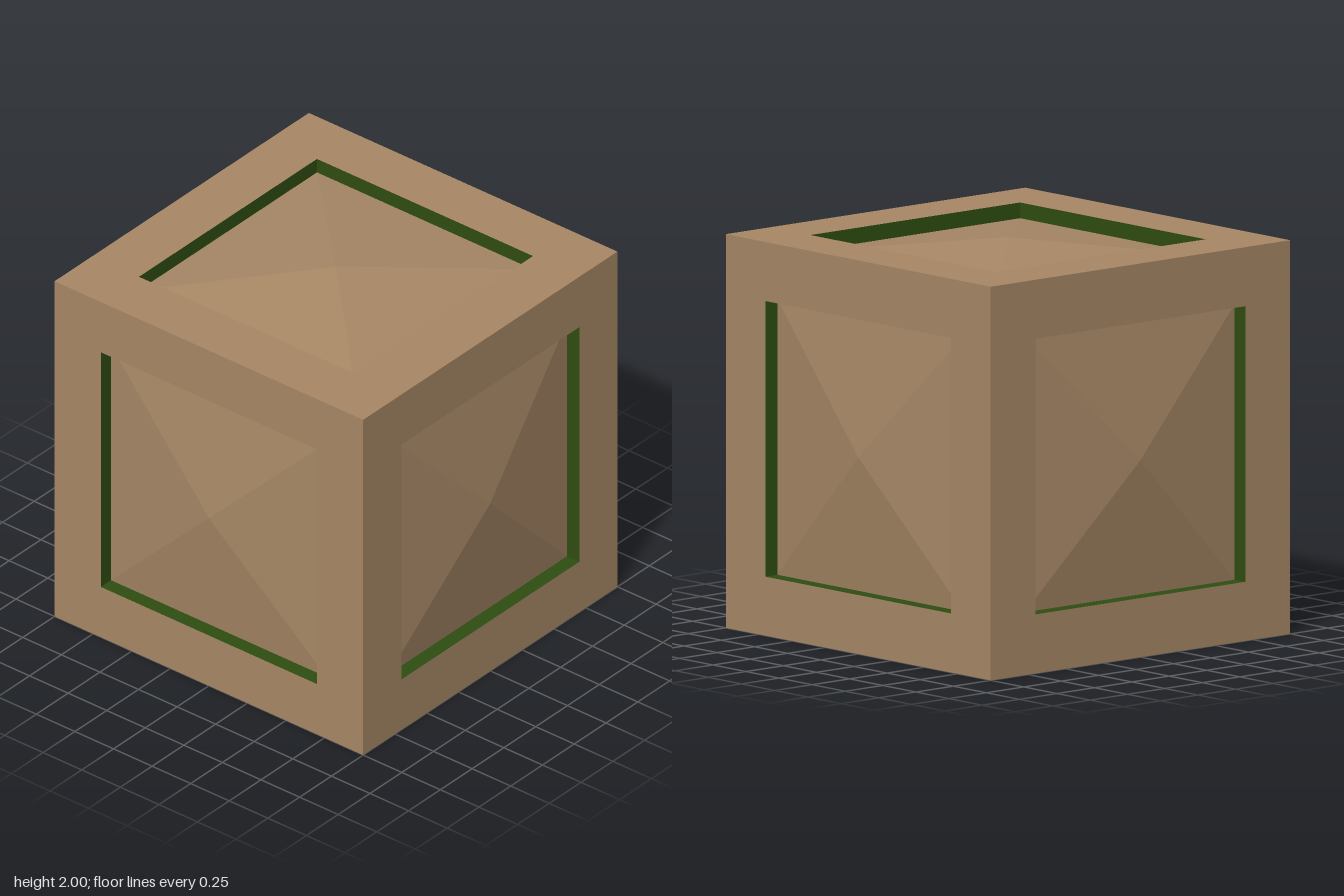
import * as THREE from 'three';

const HALF = 1;       // half the cube's side
const INNER = 0.7;    // half the recess's side
const DEPTH = 0.08;   // depth of the recess

const square = (Type, r) => new Type([
  new THREE.Vector2(-r, -r), new THREE.Vector2(r, -r),
  new THREE.Vector2(r, r), new THREE.Vector2(-r, r),
]);

export function createModel() {
  const wood = new THREE.MeshStandardMaterial({ name: 'woodBrown', color: 0xa98967, flatShading: true });
  const green = new THREE.MeshStandardMaterial({
    name: 'recessGreen', color: 0x2f4e11, flatShading: true, side: THREE.DoubleSide,
  });

  // Flat square border around the recess
  const border = square(THREE.Shape, HALF);
  border.holes.push(square(THREE.Path, INNER));
  const frameGeo = new THREE.ShapeGeometry(border).translate(0, 0, HALF);

  // Four recess walls: an open square tube
  const radius = INNER * Math.SQRT2;
  const wallGeo = new THREE.CylinderGeometry(radius, radius, DEPTH, 4, 1, true)
    .rotateY(Math.PI / 4).rotateX(Math.PI / 2).translate(0, 0, HALF - DEPTH / 2);

  // Low pyramid rising from the recess floor to the level of the frame
  const panelGeo = new THREE.ConeGeometry(radius, DEPTH, 4, 1, true)
    .rotateY(Math.PI / 4).rotateX(Math.PI / 2).translate(0, 0, HALF - DEPTH / 2);

  const model = new THREE.Group();
  model.name = 'crate';

  // The same side, turned to face six ways
  const q = Math.PI / 2;
  const sides = {
    front: [0, 0], left: [0, q], back: [0, 2 * q], right: [0, -q], top: [-q, 0], bottom: [q, 0],
  };
  for (const [name, [rx, ry]] of Object.entries(sides)) {
    const side = new THREE.Group();
    side.name = `${name}Side`;
    const parts = [['Frame', frameGeo, wood], ['RecessWalls', wallGeo, green], ['PyramidPanel', panelGeo, wood]];
    for (const [part, geometry, material] of parts) {
      const mesh = new THREE.Mesh(geometry, material);
      mesh.name = name + part;
      side.add(mesh);
    }
    side.rotation.set(rx, ry, 0);
    side.position.y = HALF;
    model.add(side);
  }
  return model;
}
